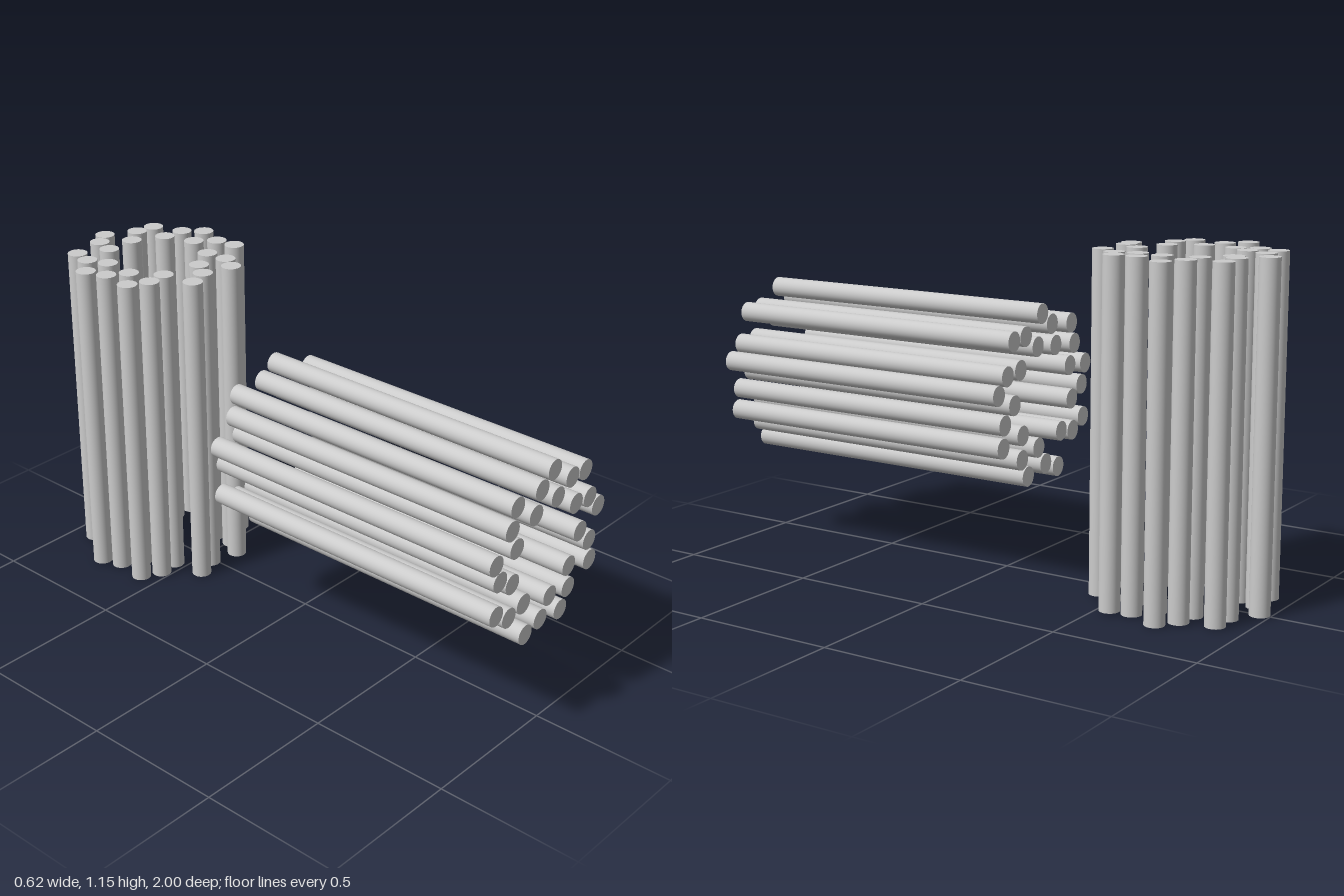
import * as THREE from 'three';

const RADIUS = 0.0345;
const LENGTH = 1.144;

// Rod centres in the bundle's cross-section: irregular ring, two rods deep
const CENTRES = [
  [0.008, 0.9], [-0.056, 0.857], [-0.172, 0.845], [0.105, 0.836], [0.181, 0.83],
  [0.038, 0.793], [-0.081, 0.781], [-0.193, 0.772], [0.139, 0.729], [0.216, 0.72],
  [-0.164, 0.699], [-0.274, 0.69], [0.272, 0.665], [-0.245, 0.62], [0.172, 0.616],
  [-0.177, 0.58], [0.23, 0.559], [-0.257, 0.504], [0.129, 0.507], [0.239, 0.483],
  [-0.111, 0.479], [-0.19, 0.467], [0.026, 0.446], [0.135, 0.425], [-0.02, 0.382],
  [-0.093, 0.358], [0.096, 0.361],
];

// Bundle of parallel rods running along z, with slightly uneven ends
function createBundle(name, geometry, material) {
  const bundle = new THREE.Group();
  bundle.name = name;
  CENTRES.forEach(([x, y], i) => {
    const rod = new THREE.Mesh(geometry, material);
    rod.name = 'rod';
    rod.rotation.x = Math.PI / 2;
    rod.position.set(x, y, 0.003 * Math.sin(i * 2.4));
    bundle.add(rod);
  });
  return bundle;
}

export function createModel() {
  const model = new THREE.Group();
  model.name = 'rodBundles';
  const material = new THREE.MeshStandardMaterial({ color: 0xcccccc });
  const geometry = new THREE.CylinderGeometry(RADIUS, RADIUS, LENGTH, 32);

  // Lying bundle, pointing to the front
  const lying = createBundle('lyingBundle', geometry, material);
  lying.position.z = 0.425;

  // Same bundle turned upright behind it
  const standing = createBundle('standingBundle', geometry, material);
  standing.rotation.x = -Math.PI / 2;
  standing.position.set(0, 0.576, -0.066);
  // Rotation by -90 degrees about x maps the cross-section's y to -z and its z to y
  model.add(lying, standing);
  return model;
}
